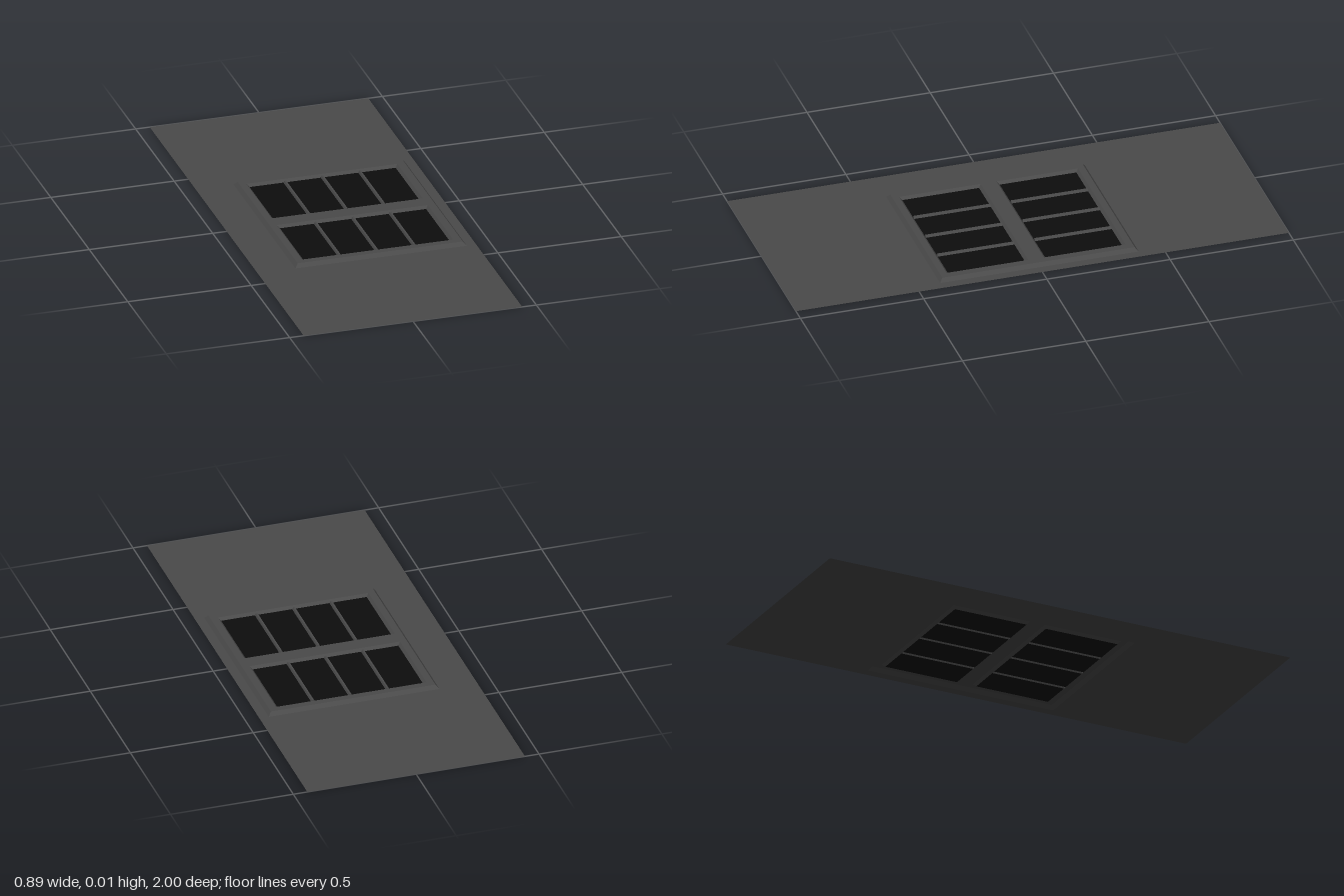
import * as THREE from 'three';

const grey = new THREE.MeshStandardMaterial({ color: 0x4a4a4a, side: THREE.DoubleSide, flatShading: true });
const dark = new THREE.MeshStandardMaterial({ color: 0x0d0d0d, side: THREE.DoubleSide, flatShading: true });

// Rectangles are [x0, x1, z0, z1]
const inset = ([x0, x1, z0, z1], d) => [x0 + d, x1 - d, z0 + d, z1 - d];
const corners = ([x0, x1, z0, z1]) => [[x0, z1], [x1, z1], [x1, z0], [x0, z0]];

// Flat horizontal sheet with rectangular openings
function sheet(rect, y, holes = []) {
  const outline = (r) => corners(r).map(([x, z]) => new THREE.Vector2(x, -z));
  const shape = new THREE.Shape(outline(rect));
  holes.forEach((h) => shape.holes.push(new THREE.Path(outline(h))));
  return new THREE.ShapeGeometry(shape).rotateX(-Math.PI / 2).translate(0, y, 0);
}

// Four sloping faces joining an outer rectangle to an inner one
function slope(outer, yOuter, inner, yInner) {
  const a = corners(outer), b = corners(inner), pos = [];
  for (let i = 0; i < 4; i++) {
    const j = (i + 1) % 4;
    const p = [a[i][0], yOuter, a[i][1]], q = [a[j][0], yOuter, a[j][1]];
    const r = [b[j][0], yInner, b[j][1]], s = [b[i][0], yInner, b[i][1]];
    pos.push(...p, ...q, ...r, ...p, ...r, ...s);
  }
  const g = new THREE.BufferGeometry();
  g.setAttribute('position', new THREE.Float32BufferAttribute(pos, 3));
  g.computeVertexNormals();
  return g;
}

export function createModel() {
  const model = new THREE.Group();
  const add = (parent, name, geometry, material = grey) => {
    const mesh = new THREE.Mesh(geometry, material);
    mesh.name = name;
    parent.add(mesh);
  };

  const frame = [-0.29, 0.405, -0.403, 0.403];
  const frameTop = inset(frame, 0.013);
  const topY = 0.015, glassY = 0.004;
  const rows = [[-0.25, 0.362, -0.363, -0.032], [-0.25, 0.362, 0.032, 0.363]];

  // Wall panel, open behind the window
  add(model, 'wallPanel', sheet([-0.443, 0.443, -1, 1], 0, [frame]));

  // Raised frame with bevelled rim
  add(model, 'frameRim', slope(frame, 0, frameTop, topY));
  add(model, 'frameFace', sheet(frameTop, topY, rows));

  // Two rows of four panes with bars between them
  rows.forEach((row, r) => {
    const window = new THREE.Group();
    window.name = r ? 'frontWindow' : 'backWindow';
    const opening = inset(row, 0.01);
    const [x0, x1, z0, z1] = opening;
    const pitch = (x1 - x0 + 0.015) / 4;
    add(window, 'reveal', slope(row, topY, opening, glassY));
    for (let i = 0; i < 4; i++) {
      const left = x0 + i * pitch, right = left + pitch - 0.015;
      add(window, 'pane', sheet([left, right, z0, z1], glassY), dark);
      if (i === 3) continue;
      const bar = [right, right + 0.015, z0, z1];
      const barTop = [right + 0.004, right + 0.011, z0, z1];
      add(window, 'barSides', slope(bar, glassY, barTop, 0.012));
      add(window, 'barFace', sheet(barTop, 0.012));
    }
    model.add(window);
  });
  return model;
}
